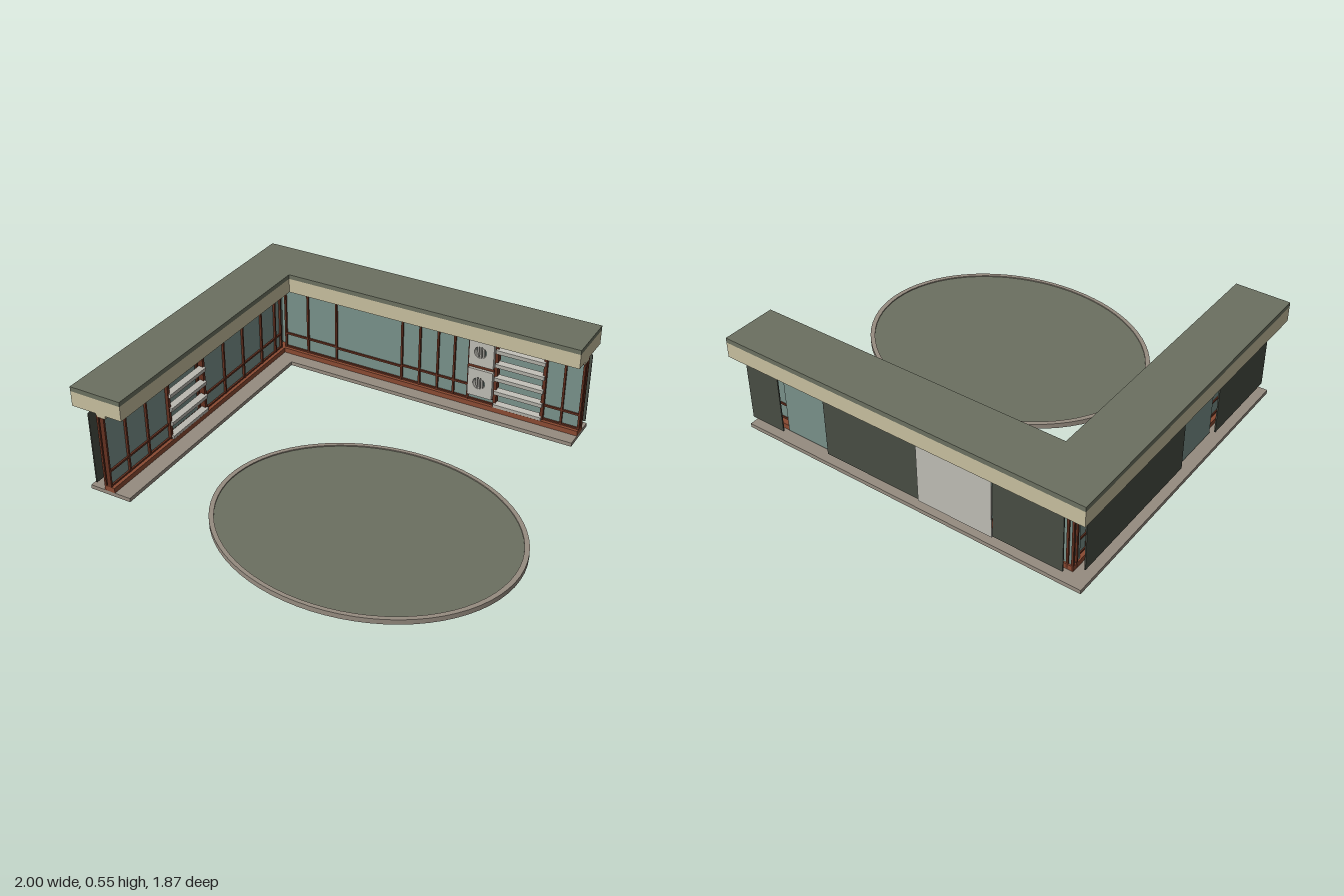
import * as THREE from 'three';

const mat = (name, color, double) => {
  const m = new THREE.MeshStandardMaterial({ color });
  m.name = name;
  if (double) m.side = THREE.DoubleSide;
  return m;
};

export function createModel() {
  const model = new THREE.Group();
  model.name = 'pavilion';
  const green = mat('roof green', 0x6b7060);
  const cream = mat('fascia cream', 0xc6be9e);
  const stone = mat('terrace stone', 0x968c80, true);
  const brick = mat('plinth brick', 0x8a4a32);
  const timber = mat('timber frame', 0x63301f);
  const glass = mat('glass', 0x789089);
  const pale = mat('pale panel', 0xbdbbb3);
  const dark = mat('dark shutter', 0x474c43);

  // Box given by its limits on each axis
  function box(parent, name, m, x0, x1, y0, y1, z0, z1) {
    const mesh = new THREE.Mesh(new THREE.BoxGeometry(x1 - x0, y1 - y0, z1 - z0), m);
    mesh.position.set((x0 + x1) / 2, (y0 + y1) / 2, (z0 + z1) / 2);
    mesh.name = name;
    parent.add(mesh);
    return mesh;
  }

  // L-shaped slab: outer corner (x0, z0), inner corner (x1, z1)
  function slab(name, m, x0, z0, x1, z1, y0, y1) {
    const pts = [[x0, z0], [0.83, z0], [0.83, z1], [x1, z1], [x1, 0.715], [x0, 0.715]];
    const shape = new THREE.Shape(pts.map(([x, z]) => new THREE.Vector2(x, -z)));
    const geo = new THREE.ExtrudeGeometry(shape, { depth: y1 - y0, bevelEnabled: false });
    geo.rotateX(-Math.PI / 2);
    const mesh = new THREE.Mesh(geo, m);
    mesh.position.y = y0;
    mesh.name = name;
    model.add(mesh);
  }
  slab('roofCap', green, -1, -0.94, -0.732, -0.67, 0.525, 0.548);
  slab('roofFascia', cream, -1, -0.94, -0.732, -0.67, 0.45, 0.525);
  slab('wallHeader', cream, -0.87, -0.805, -0.82, -0.745, 0.434, 0.45);
  slab('plinth', brick, -0.87, -0.805, -0.815, -0.74, 0.04, 0.066);
  slab('terrace', stone, -0.95, -0.872, -0.732, -0.67, 0.02, 0.04);

  const Y0 = 0.066, Y1 = 0.434;

  // One wing: runs along local x, its facade looks to local +z, facade plane at z = 0
  function wing(name, start, end, bays, louvre, posts) {
    const g = new THREE.Group();
    g.name = name;
    // Glazed bays, each with rails: [from, to, height of middle rail]
    for (const [a, b, mid] of bays) {
      box(g, 'windowGlass', glass, a, b, Y0, Y1, -0.027, -0.021);
      box(g, 'middleRail', timber, a, b, mid - 0.005, mid + 0.005, -0.032, -0.012);
    }
    for (const y of [Y0 + 0.003, Y1 - 0.004])
      box(g, 'rail', timber, start, end, y - 0.005, y + 0.005, -0.032, -0.012);
    for (const p of posts) box(g, 'mullion', timber, p - 0.005, p + 0.005, Y0, Y1, -0.032, -0.01);

    // Louvred opening with glass behind it
    const [a, b] = louvre;
    for (const p of [a + 0.008, b - 0.008])
      box(g, 'louvreJamb', timber, p - 0.008, p + 0.008, Y0, Y1, -0.035, -0.005);
    for (let i = 0; i < 5; i++) {
      const y = 0.076 + i * 0.0765;
      const s = box(g, 'louvreSlat', pale, a + 0.006, b - 0.006, y - 0.011, y + 0.011, -0.028, 0.006);
      s.rotation.x = 0.15;
    }
    box(g, 'rearGlass', glass, a, b, 0.05, 0.45, -0.07, -0.065);
    for (const p of [a, b]) box(g, 'rearPost', timber, p - 0.004, p + 0.004, 0.04, 0.45, -0.06, -0.05);
    model.add(g);
    return g;
  }

  // Back wing, along x
  const back = wing('backWing', -0.82, 0.83,
    [[-0.82, -0.51, 0.147], [-0.51, -0.13, 0.14], [-0.13, 0.245, 0.147], [0.245, 0.38, 0.1], [0.645, 0.83, 0.147]],
    [0.38, 0.645], [-0.815, -0.68, -0.51, -0.13, -0.03, 0.07, 0.16, 0.24, 0.735, 0.826]);
  back.position.z = -0.745;

  // Side wing, along z: local x is -z, so its facade faces +x
  const side = wing('sideWing', -0.715, 0.745,
    [[-0.715, -0.265, 0.147], [0.035, 0.745, 0.147]],
    [-0.265, 0.035], [-0.711, -0.57, -0.42, 0.21, 0.38, 0.55, 0.68, 0.735]);
  side.rotation.y = Math.PI / 2;
  side.position.x = -0.82;

  // End and corner posts on the outer edge of the wall
  for (const [x, z] of [[-0.865, 0.71], [-0.865, -0.8], [-0.84, -0.8], [-0.865, -0.775], [0.825, -0.8]])
    box(model, 'outerPost', timber, x - 0.005, x + 0.005, 0.04, 0.45, z - 0.005, z + 0.005);
  box(model, 'cornerGlass', glass, -0.86, -0.82, Y0, Y1, -0.797, -0.793);
  box(model, 'cornerGlass', glass, -0.862, -0.858, Y0, Y1, -0.797, -0.745);

  // Sliding shutters outside the rear walls
  for (const [a, b] of [[0.645, 0.83], [-0.13, 0.38], [-0.85, -0.51]])
    box(model, 'rearShutter', dark, a, b, 0.066, 0.436, -0.85, -0.844);
  box(model, 'rearPaleShutter', pale, -0.51, -0.13, 0.066, 0.436, -0.857, -0.851);
  for (const [a, b] of [[0.265, 0.715], [-0.79, -0.035]])
    box(model, 'sideShutter', dark, -0.918, -0.912, 0.066, 0.436, a, b);

  // Pale screen panels with a round barred opening
  const screen = new THREE.Group();
  screen.name = 'roundScreen';
  for (const [y0, y1] of [[0.107, 0.258], [0.28, 0.432]]) {
    const cy = (y0 + y1) / 2, cx = 0.307;
    const s = new THREE.Shape([[0.247, y0], [0.378, y0], [0.378, y1], [0.247, y1]]
      .map(p => new THREE.Vector2(...p)));
    s.holes.push(new THREE.Path().absarc(cx, cy, 0.032, 0, Math.PI * 2, true));
    const panel = new THREE.Mesh(
      new THREE.ExtrudeGeometry(s, { depth: 0.03, bevelEnabled: false, curveSegments: 16 }), pale);
    panel.position.z = -0.765;
    panel.name = 'screenPanel';
    screen.add(panel);
    for (const dx of [-0.014, 0, 0.014])
      box(screen, 'screenBar', pale, cx + dx - 0.004, cx + dx + 0.004, cy - 0.033, cy + 0.033, -0.755, -0.737);
  }
  box(screen, 'screenRail', timber, 0.247, 0.378, 0.258, 0.28, -0.765, -0.75);
  model.add(screen);

  // Oval lawn with a stone kerb
  const lawn = new THREE.Group();
  lawn.name = 'ovalLawn';
  const turf = new THREE.Mesh(new THREE.CylinderGeometry(0.97, 0.97, 0.018, 72), green);
  turf.position.y = 0.0105;
  turf.name = 'turf';
  const profile = [[0.968, 0], [1, 0], [1, 0], [1, 0.025], [1, 0.025], [0.968, 0.025], [0.968, 0.025], [0.968, 0]];
  const kerb = new THREE.Mesh(
    new THREE.LatheGeometry(profile.map(p => new THREE.Vector2(...p)), 72), stone);
  kerb.name = 'kerb';
  lawn.add(turf, kerb);
  lawn.scale.set(0.73, 1, 0.595);
  lawn.position.set(0.27, 0, 0.337);
  model.add(lawn);

  return model;
}
